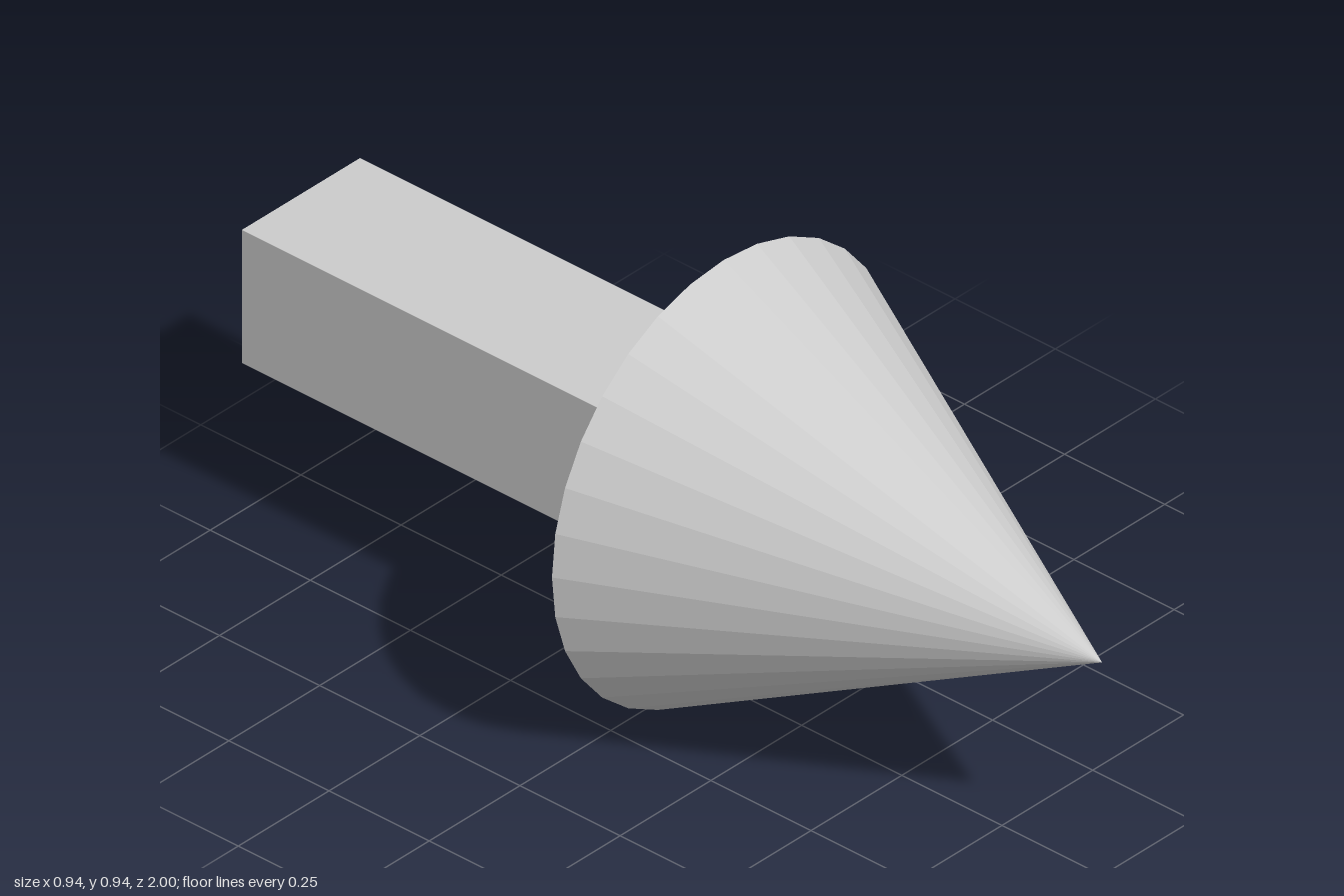
import * as THREE from 'three';

export function createModel() {
  const group = new THREE.Group();
  const material = new THREE.MeshStandardMaterial({ color: 0xcccccc, flatShading: true });
  const radius = 0.4725, baseZ = 0.055;

  // Faceted cone head pointing forward
  const headLength = 1 - baseZ;
  const head = new THREE.Mesh(new THREE.ConeGeometry(radius, headLength, 32), material);
  head.name = 'arrowHead';
  head.rotation.x = Math.PI / 2;
  head.position.set(0, radius, baseZ + headLength / 2);

  // Rectangular shaft running back from the head's base
  const shaftLength = 1 + baseZ;
  const shaft = new THREE.Mesh(new THREE.BoxGeometry(0.325, 0.295, shaftLength), material);
  shaft.name = 'arrowShaft';
  shaft.position.set(0, radius + 0.003, baseZ - shaftLength / 2);

  group.add(head, shaft);
  return group;
}
